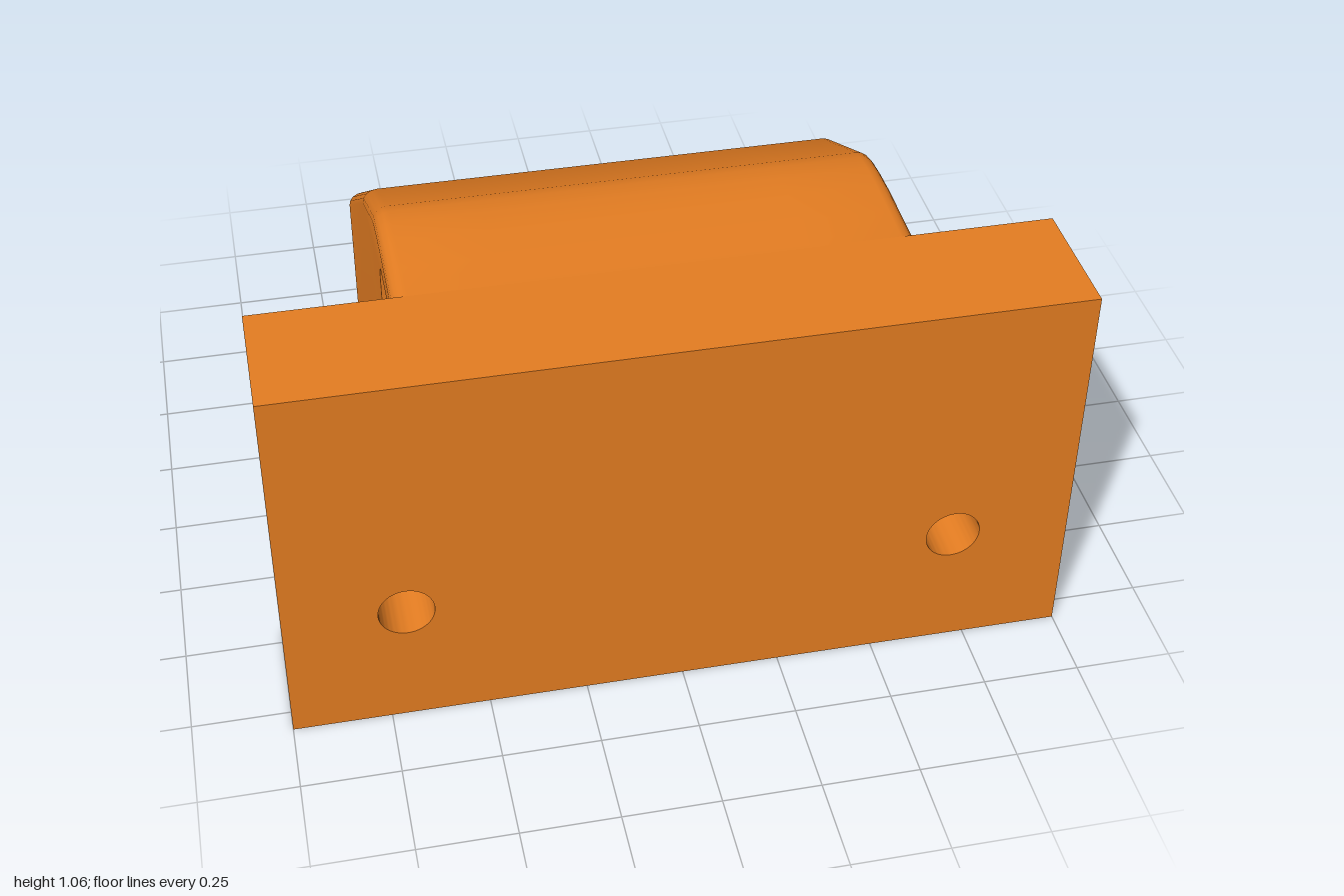
import * as THREE from 'three';
import { toCreasedNormals } from 'three/addons/utils/BufferGeometryUtils.js';

const orange = new THREE.MeshStandardMaterial({ color: 0xe67e22 });

function addMesh(group, name, geometry) {
  const mesh = new THREE.Mesh(toCreasedNormals(geometry, 0.6), orange);
  mesh.name = name;
  group.add(mesh);
}

function rectangle(x0, y0, x1, y1) {
  return new THREE.Shape([[x0, y0], [x1, y0], [x1, y1], [x0, y1]].map(p => new THREE.Vector2(...p)));
}

function roundedSlot(x0, y0, x1, y1, r) {
  const path = new THREE.Path();
  path.moveTo(x0 + r, y0);
  path.absarc(x1 - r, y0 + r, r, -Math.PI / 2, 0);
  path.absarc(x1 - r, y1 - r, r, 0, Math.PI / 2);
  path.absarc(x0 + r, y1 - r, r, Math.PI / 2, Math.PI);
  path.absarc(x0 + r, y0 + r, r, Math.PI, Math.PI * 1.5);
  return path;
}

// Body: side profile swept across the width, with the top edges rounded
// and an arched channel pushed up into the underside.
function bodyGeometry() {
  // Profile in (-z, y): the sloping top, then the underside with its gap
  const top = [[-0.47, 1.05], [-0.36, 1.053], [-0.25, 1.057], [-0.17, 1.055], [-0.11, 1.049],
    [-0.07, 1.038], [0.23, 0.89], [0.81, 0.49]];
  const under = [[0.81, 0], [-0.06, 0], [-0.06, 0.61], [-0.47, 0.61]];
  const shape = new THREE.Shape([...top, ...under].map(p => new THREE.Vector2(...p)));
  shape.holes.push(roundedSlot(-0.36, 0.74, -0.19, 0.955, 0.04));

  // Stations across the half width: channel first, then the rounded edge
  const half = [{ x: 0.11, lift: 0.18, drop: 0 }, { x: 0.265, lift: 0.12, drop: 0 }, { x: 0.38, lift: 0, drop: 0 }];
  const r = 0.04;
  for (let i = 0; i <= 4; i++) {
    const a = i * Math.PI / 8;
    half.push({ x: 0.65 - r + r * Math.sin(a), lift: 0, drop: r * (1 - Math.cos(a)) });
  }
  const stations = [...half.map(s => ({ ...s, x: -s.x })).reverse(), ...half];

  const steps = stations.length - 1;
  const geo = new THREE.ExtrudeGeometry(shape, { depth: steps, steps, bevelEnabled: false, curveSegments: 6 });
  const pos = geo.attributes.position;
  for (let i = 0; i < pos.count; i++) {
    const u = pos.getX(i), y = pos.getY(i);
    const s = stations[Math.round(pos.getZ(i))];
    const onTop = top.some(p => Math.abs(p[0] - u) < 1e-4 && Math.abs(p[1] - y) < 1e-4);
    if (onTop) pos.setY(i, y - s.drop);
    else if (Math.abs(y) < 1e-4) pos.setY(i, s.lift);
    pos.setZ(i, s.x);
  }
  return geo.rotateY(Math.PI / 2);
}

export function createModel() {
  const group = new THREE.Group();
  group.name = 'bracket';

  // Front plate with two blind round holes, closed by a slab behind
  const holeDepth = 0.25;
  const face = rectangle(-1, 0, 1, 1.05);
  for (const side of [-1, 1]) {
    face.holes.push(new THREE.Path().absarc(side * 0.695, 0.35, 0.07, 0, Math.PI * 2));
  }
  addMesh(group, 'frontPlate', new THREE.ExtrudeGeometry(face, { depth: holeDepth, bevelEnabled: false, curveSegments: 32 })
    .translate(0, 0, 0.81 - holeDepth));
  const slab = 0.34 - holeDepth;
  addMesh(group, 'plateBack', new THREE.BoxGeometry(2, 1.05, slab).translate(0, 0.525, 0.47 + slab / 2));

  addMesh(group, 'body', bodyGeometry());
  return group;
}
